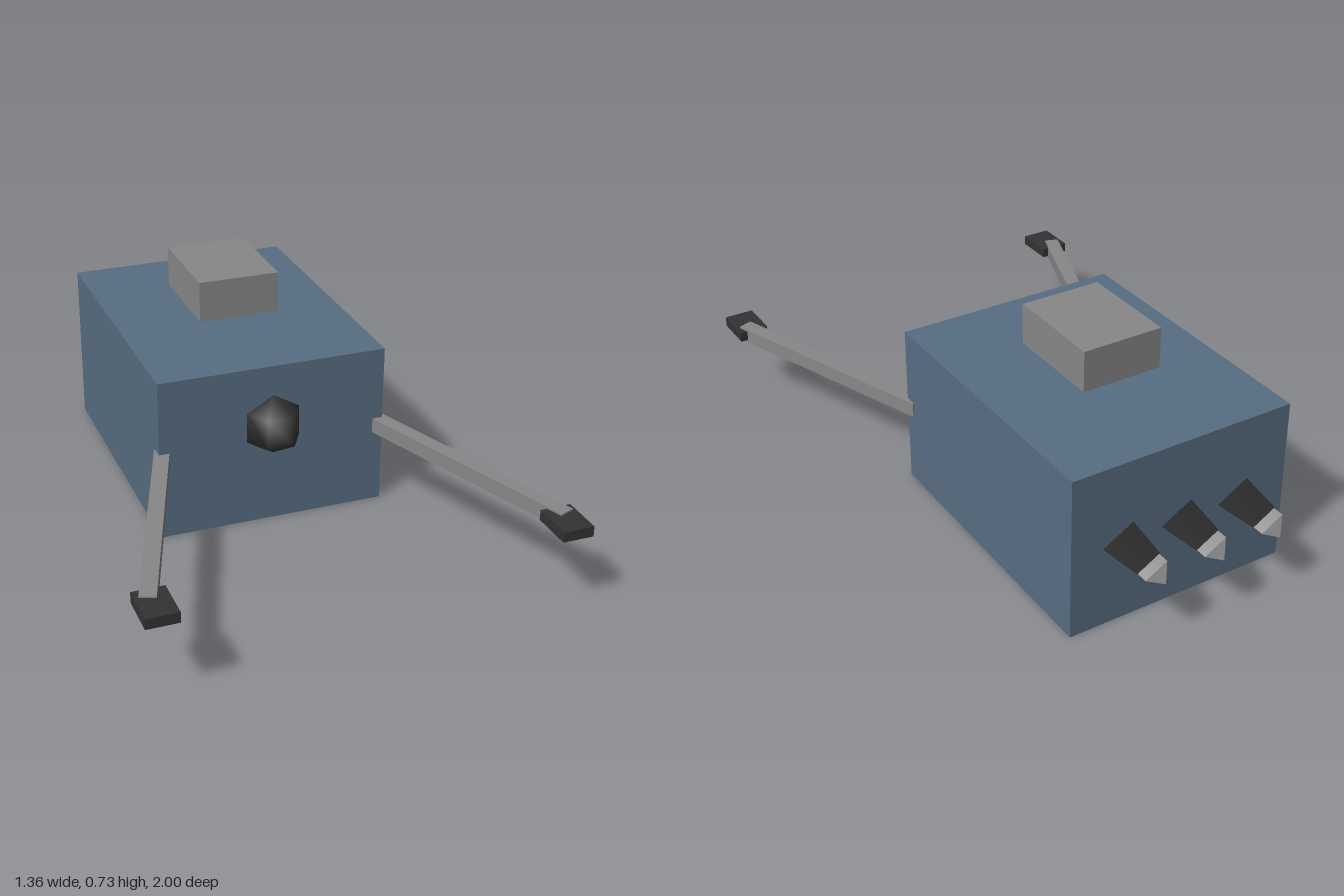
import * as THREE from 'three';

const paint = (name, color) => {
  const m = new THREE.MeshStandardMaterial({ color });
  m.name = name;
  return m;
};

export function createModel() {
  const blue = paint('slate blue', 0x586e82);
  const grey = paint('mid grey', 0x888888);
  const dark = paint('charcoal', 0x333333);
  const silver = paint('silver', 0xbbbbbb);
  const model = new THREE.Group();

  const add = (name, geometry, material, x, y, z) => {
    const mesh = new THREE.Mesh(geometry, material);
    mesh.name = name;
    mesh.position.set(x, y, z);
    model.add(mesh);
    return mesh;
  };

  // Hull and the block hovering above it
  add('body', new THREE.BoxGeometry(0.768, 0.55, 0.982), blue, 0, 0.275, -0.329);
  add('topBlock', new THREE.BoxGeometry(0.274, 0.137, 0.343), grey, 0, 0.66, -0.329);

  // Low-poly eye half sunk in the front
  add('eye', new THREE.SphereGeometry(0.103, 6, 3), dark, 0, 0.345, 0.162);

  // Splayed arms with flat pads
  for (const side of [-1, 1]) {
    const arm = add('arm', new THREE.BoxGeometry(0.05, 0.05, 0.827), grey, side * 0.504, 0.277, 0.518);
    arm.rotation.y = side * 0.345;
    add('pad', new THREE.BoxGeometry(0.1, 0.034, 0.137), dark, side * 0.63, 0.279, 0.9315);
  }

  // Three-sided rear nozzles, one corner towards +x; the first radius faces the back
  const prism = (rearRadius, frontRadius, length) =>
    new THREE.CylinderGeometry(rearRadius, frontRadius, length, 3, 1, false, Math.PI / 2).rotateX(-Math.PI / 2);
  for (const x of [-0.206, 0, 0.206]) {
    add('nozzle', prism(0.051, 0.069, 0.142), dark, x, 0.276, -0.891);
    add('nozzleTip', prism(0.048, 0.048, 0.06), silver, x, 0.276, -0.97);
  }
  return model;
}
